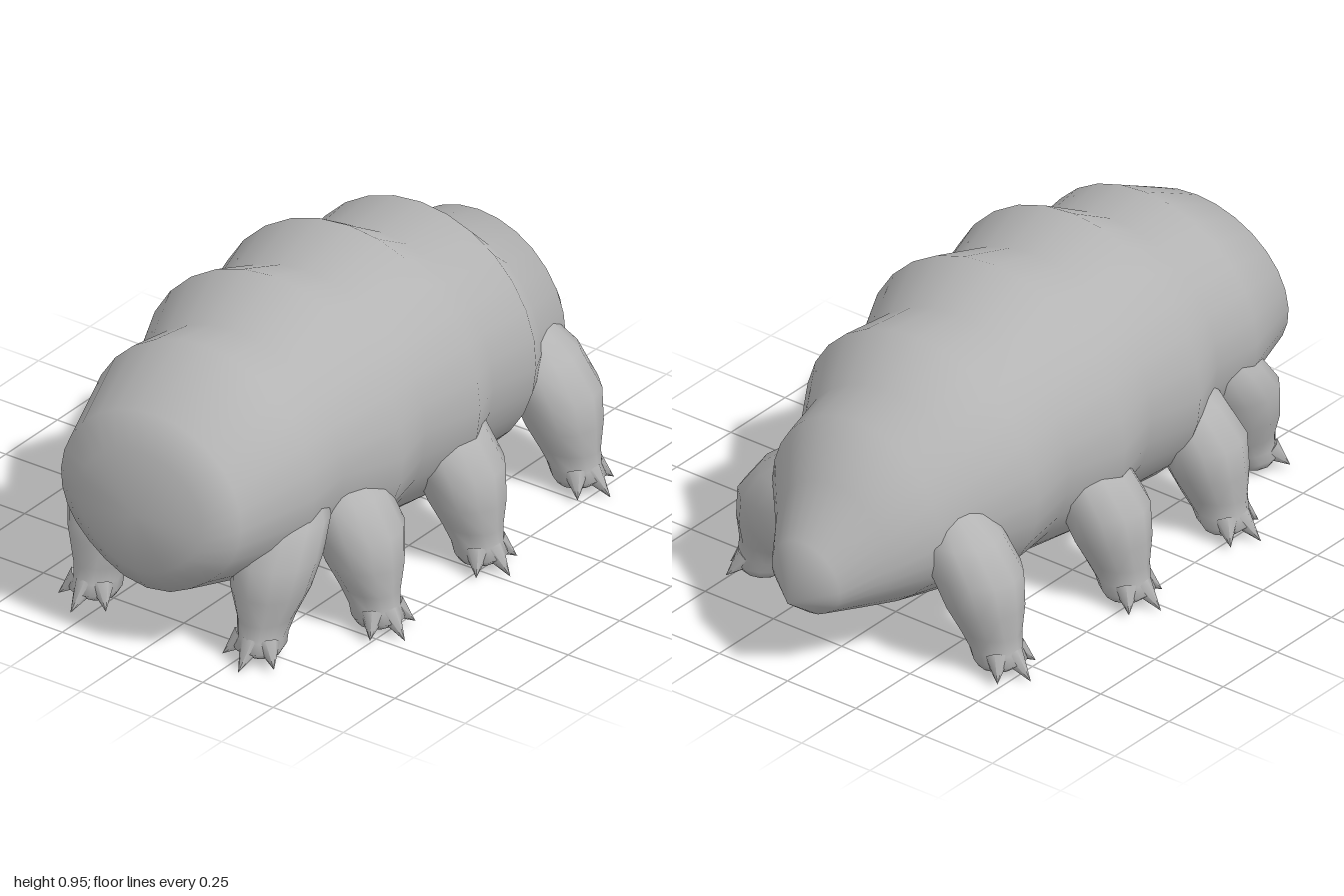
import * as THREE from 'three';
import { mergeVertices } from 'three/addons/utils/BufferGeometryUtils.js';

const skin = new THREE.MeshStandardMaterial({ color: 0xb4b4b4 });
skin.name = 'grey skin';

// Smooth skin through closed rings of equal point count; flip for mirrored parts
function loft(rings, flip) {
  const n = rings[0].length, pos = [], index = [];
  rings.forEach(r => r.forEach(p => pos.push(p.x, p.y, p.z)));
  for (let i = 0; i < rings.length - 1; i++) {
    for (let j = 0; j < n; j++) {
      const a = i * n + j, b = i * n + (j + 1) % n, c = a + n, d = b + n;
      if (flip) index.push(a, c, b, b, c, d);
      else index.push(a, b, c, b, d, c);
    }
  }
  let g = new THREE.BufferGeometry();
  g.setAttribute('position', new THREE.Float32BufferAttribute(pos, 3));
  g.setIndex(index);
  g = mergeVertices(g, 1e-5);
  g.computeVertexNormals();
  return g;
}

function add(parent, geometry, name) {
  const mesh = new THREE.Mesh(geometry, skin);
  mesh.name = name;
  parent.add(mesh);
  return mesh;
}

// Body rings: z at top, z at bottom, top y, bottom y, half width, y of widest point
const BODY = [
  [1, 1, 0.47, 0.47, 0, 0.47],
  [0.95, 0.985, 0.65, 0.28, 0.22, 0.47],
  [0.89, 0.93, 0.75, 0.2, 0.32, 0.48],
  [0.65, 0.68, 0.87, 0.13, 0.4, 0.5],
  [0.5, 0.5, 0.85, 0.09, 0.385, 0.5],
  [0.32, 0.32, 0.95, 0.06, 0.465, 0.5],
  [0.15, 0.15, 0.89, 0.05, 0.42, 0.5],
  [-0.05, -0.03, 0.95, 0.05, 0.475, 0.5],
  [-0.21, -0.2, 0.855, 0.05, 0.4, 0.48],
  [-0.4, -0.36, 0.87, 0.055, 0.425, 0.47],
  [-0.53, -0.52, 0.75, 0.09, 0.34, 0.43],
  [-0.68, -0.68, 0.72, 0.13, 0.31, 0.41],
  [-0.79, -0.79, 0.56, 0.155, 0.21, 0.35],
  [-0.93, -0.9, 0.43, 0.185, 0.125, 0.3],
  [-1, -1, 0.26, 0.26, 0, 0.26],
];

function bodyRing([zt, zb, top, bottom, w, mid]) {
  const n = 28;
  return Array.from({ length: n }, (_, i) => {
    const t = i / n * Math.PI * 2, c = Math.cos(t), s = Math.sin(t), k = Math.abs(c);
    // the belly is fuller than the back and ends in a shallow keel
    const y = c >= 0 ? mid + (top - mid) * c : mid - (mid - bottom) * (0.87 * k + 0.13 * k ** 8);
    const x = w * Math.sign(s) * Math.abs(s) ** (c < 0 ? 0.9 : 1);
    return new THREE.Vector3(x, y, THREE.MathUtils.lerp(zt, zb, (1 - c) / 2));
  });
}

// Leg rings: outward offset, y, radius outward, radius sideways
const LEG = [
  [-0.06, 0.53, 0, 0],
  [-0.05, 0.5, 0.06, 0.07],
  [0.0, 0.41, 0.125, 0.125],
  [0.06, 0.31, 0.14, 0.135],
  [0.09, 0.21, 0.12, 0.115],
  [0.11, 0.13, 0.1, 0.08],
  [0.13, 0.08, 0.085, 0.07],
  [0.145, 0.05, 0.085, 0.075],
  [0.14, 0.025, 0.06, 0.06],
  [0.14, 0.02, 0, 0],
];

// Hip x, hip z, heading in radians from sideways towards the front
const LEGS = [
  ['front', 0.285, 0.635, 1.52],
  ['second', 0.32, 0.41, 0.2],
  ['third', 0.335, -0.05, 0.1],
  ['rear', 0.29, -0.57, 0],
];

function makeLeg(name, hipX, hipZ, heading, side) {
  const leg = new THREE.Group();
  leg.name = name;
  const ox = Math.cos(heading), oz = Math.sin(heading);
  const place = (out, y, across) =>
    new THREE.Vector3(side * (hipX + ox * out - oz * across), y, hipZ + oz * out + ox * across);

  const n = 12;
  const rings = LEG.map(([off, y, ro, rs]) => Array.from({ length: n }, (_, i) => {
    const t = i / n * Math.PI * 2;
    return place(off + ro * Math.cos(t), y, rs * Math.sin(t));
  }));
  add(leg, loft(rings, side < 0), 'limb');

  // Three stout claws fan out around the toe
  [-1, 0, 1].forEach(a => {
    const c = Math.cos(a), s = Math.sin(a);
    const root = place(0.145 + 0.045 * c, 0.068, 0.05 * s);
    const tip = place(0.145 + 0.115 * c, a ? 0.015 : 0.003, 0.105 * s);
    const dir = tip.clone().sub(root);
    const claw = add(leg, new THREE.ConeGeometry(0.036, dir.length(), 7), 'claw');
    claw.position.copy(root).add(tip).multiplyScalar(0.5);
    claw.quaternion.setFromUnitVectors(new THREE.Vector3(0, 1, 0), dir.normalize());
  });
  return leg;
}

export function createModel() {
  const model = new THREE.Group();
  model.name = 'waterBear';
  add(model, loft(BODY.map(bodyRing), false), 'body');
  for (const [name, x, z, heading] of LEGS) {
    model.add(makeLeg(name + 'LegLeft', x, z, heading, 1));
    model.add(makeLeg(name + 'LegRight', x, z, heading, -1));
  }
  return model;
}
